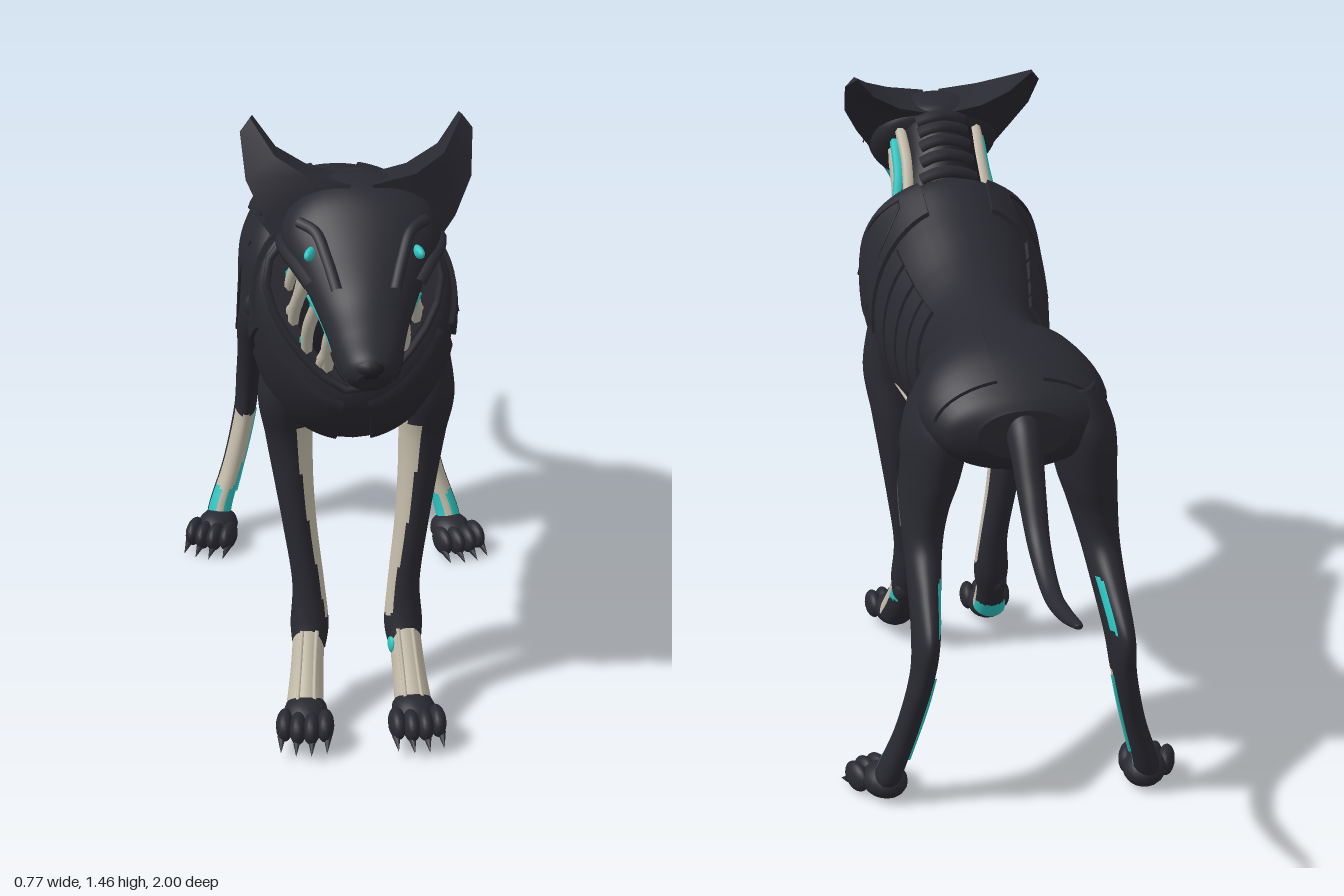
import * as THREE from 'three';
import { toCreasedNormals } from 'three/addons/utils/BufferGeometryUtils.js';

const material = (name, color) => Object.assign(new THREE.MeshStandardMaterial({ color }), { name });
const armour = material('dark armour', 0x292931);
const seam = material('seam black', 0x1f1f25);
const sinew = material('bone sinew', 0xc2baa8);
const glow = material('turquoise', 0x2cc4c0);

const V = (x, y, z) => new THREE.Vector3(x, y, z);

// A station is [topZ, topY, bottomZ, bottomY, halfWidth, centreX, topHeaviness].
// Smooth station at parameter t along a list of stations.
function station(list, t) {
  const n = list.length, i = Math.min(Math.floor(t), n - 2), f = t - i;
  const at = (k, c) => list[Math.max(0, Math.min(n - 1, k))][c] ?? 0;
  return [0, 1, 2, 3, 4, 5, 6].map((c) => {
    const a = at(i - 1, c), b = at(i, c), d = at(i + 1, c), e = at(i + 2, c);
    return b + 0.5 * f * (d - a + f * (2 * a - 5 * b + 4 * d - e + f * (3 * (b - d) + e - a)));
  });
}

// Point on a lofted surface at parameter t and angle a, lifted by grow.
function surf(list, t, a, grow = 0) {
  const [tz, ty, bz, by, w, cx, k] = station(list, t);
  const len = Math.hypot(tz - bz, ty - by) / 2 || 1;
  const s = Math.sin(a) * (1 + grow / len) / 2;
  return V(cx + (w + grow) * Math.cos(a) * (1 + k * Math.sin(a)),
    (ty + by) / 2 + (ty - by) * s, (tz + bz) / 2 + (tz - bz) * s);
}

// Skin closed rings with end caps; pick(i, j) gives the material of each face.
function skin(rings, materials = 1, pick = () => 0) {
  const n = rings[0].length, m = rings.length, pos = [];
  rings.forEach((r) => r.forEach((p) => pos.push(p.x, p.y, p.z)));
  for (const r of [rings[0], rings[m - 1]]) {
    const c = r.reduce((s, p) => s.add(p), V(0, 0, 0)).divideScalar(n);
    pos.push(c.x, c.y, c.z);
  }
  const faces = Array.from({ length: materials }, () => []);
  for (let j = 0; j < n; j++) {
    const q = (j + 1) % n, e = (m - 1) * n;
    for (let i = 0; i < m - 1; i++) {
      const a = i * n + j, b = i * n + q;
      faces[pick(i, j)].push(a, b, a + n, b, b + n, a + n);
    }
    faces[pick(0, j)].push(m * n, q, j);
    faces[pick(m - 2, j)].push(m * n + 1, e + j, e + q);
  }
  const g = new THREE.BufferGeometry();
  g.setAttribute('position', new THREE.Float32BufferAttribute(pos, 3));
  g.setIndex(faces.flat());
  let start = 0;
  faces.forEach((f, k) => { g.addGroup(start, f.length, k); start += f.length; });
  g.computeVertexNormals();
  return g;
}

export function createModel() {
  const root = new THREE.Group();
  root.name = 'hound';
  const add = (name, geo, mat, parent = root) => {
    const m = new THREE.Mesh(geo, mat);
    m.name = name;
    parent.add(m);
    return m;
  };
  const loft = (name, list, mats = [armour], paint = () => 0) => {
    const N = 40, sub = 12, M = (list.length - 1) * sub, A = Math.PI * 2 / N;
    const rings = Array.from({ length: M + 1 }, (_, i) =>
      Array.from({ length: N }, (_, j) => surf(list, i / sub, j * A)));
    return add(name, skin(rings, mats.length, (i, j) => {
      const a = (j + 0.5) * A;
      return paint(surf(list, (i + 0.5) / sub, a), a);
    }), mats);
  };
  // Raised plate over part of a loft, s = 1 left, -1 right.
  const panel = (name, list, t0, t1, a0, a1, grow, s) => {
    const K = 14, rings = [];
    for (let i = 0; i <= 8; i++) {
      const t = t0 + (t1 - t0) * i / 8, ring = [];
      for (const [g, back] of [[grow, 0], [-0.015, 1]])
        for (let j = 0; j <= K; j++) {
          const f = back ? 1 - j / K : j / K, a = a0 + (a1 - a0) * f;
          ring.push(surf(list, t, s > 0 ? a : Math.PI - a, g));
        }
      rings.push(s > 0 ? ring : ring.reverse());
    }
    return add(name, toCreasedNormals(skin(rings), 0.7), armour);
  };
  // Strand lying on a loft through a list of [t, angle].
  const strand = (name, list, path, r, mat, s = 1, grow = 0) => {
    const pts = path.map(([t, a]) => surf(list, t, s > 0 ? a : Math.PI - a, grow));
    return add(name, new THREE.TubeGeometry(new THREE.CatmullRomCurve3(pts), 20, r, 7), mat);
  };
  const ball = (name, p, x, y, z, mat, parent) => {
    const m = add(name, new THREE.SphereGeometry(1, 16, 12), mat, parent);
    m.position.copy(p);
    m.scale.set(x, y, z);
    return m;
  };

  // Torso with open flank and elbow patches
  const torso = [
    [-0.47, 0.95, -0.46, 0.84, 0.1], [-0.44, 0.985, -0.42, 0.8, 0.17], [-0.35, 1.045, -0.33, 0.78, 0.205],
    [-0.25, 1.07, -0.24, 0.79, 0.185], [-0.15, 1.07, -0.15, 0.8, 0.135], [0, 1.08, -0.02, 0.73, 0.145],
    [0.12, 1.115, 0.1, 0.69, 0.172], [0.25, 1.18, 0.25, 0.67, 0.2], [0.36, 1.235, 0.42, 0.695, 0.215],
    [0.395, 1.23, 0.51, 0.8, 0.205, 0, 0.15], [0.41, 1.2, 0.525, 0.87, 0.165, 0, 0.45]];
  loft('torso', torso, [armour, sinew], (p) => {
    const flank = p.z < 0.1 && p.z > -0.17 && Math.abs(p.x) > 0.05 && p.y < Math.min(0.91, 0.75 + (0.1 - p.z) * 0.78);
    const elbow = p.z > 0.19 && p.z < 0.33 && p.y > 0.73 && p.y < 0.76 + (p.z - 0.19) * 0.55;
    return flank || elbow ? 1 : 0;
  });
  strand('collarRim', torso, Array.from({ length: 25 }, (_, i) => [9.7, i * Math.PI / 12]), 0.009, armour);

  // Neck core
  const neck = [[0.36, 1.2, 0.49, 0.86, 0.14], [0.42, 1.22, 0.54, 0.95, 0.125],
    [0.48, 1.3, 0.6, 1.06, 0.105], [0.55, 1.355, 0.69, 1.17, 0.1], [0.6, 1.36, 0.72, 1.2, 0.09]];
  loft('neck', neck, [seam]);
  for (let i = 0; i < 6; i++)
    strand('napePlate', neck, [1, 1.25, 1.57, 1.9, 2.14].map((a) => [0.9 + i * 0.4, a]), 0.016, armour);

  // Head
  const head = [[0.55, 1.35, 0.6, 1.24, 0.07], [0.57, 1.375, 0.64, 1.2, 0.13], [0.64, 1.39, 0.68, 1.16, 0.16],
    [0.71, 1.37, 0.73, 1.145, 0.15, 0, 0.1], [0.78, 1.31, 0.78, 1.115, 0.117, 0, 0.14], [0.86, 1.225, 0.84, 1.092, 0.085],
    [0.93, 1.178, 0.9, 1.07, 0.068], [0.985, 1.145, 0.95, 1.06, 0.05], [0.998, 1.115, 0.975, 1.075, 0.025]];
  loft('head', head);
  ball('nose', V(0, 1.12, 0.97), 0.036, 0.026, 0.03, seam);

  // Tail
  loft('tail', [[-0.4, 0.87, -0.4, 0.97, 0.045], [-0.46, 0.84, -0.49, 0.925, 0.037], [-0.53, 0.755, -0.57, 0.81, 0.03],
    [-0.62, 0.675, -0.64, 0.72, 0.024], [-0.75, 0.63, -0.75, 0.665, 0.02], [-0.87, 0.64, -0.865, 0.67, 0.017],
    [-0.98, 0.672, -0.985, 0.69, 0.011], [-1, 0.68, -1, 0.685, 0.003]]);

  // Paw with four toes and claws, facing +z
  const paw = (name, x, y, z, turn) => {
    const g = new THREE.Group();
    g.name = name;
    g.position.set(x, y, z);
    g.rotation.y = turn;
    root.add(g);
    ball('palm', V(0, 0.042, -0.01), 0.05, 0.04, 0.062, armour, g);
    for (let i = 0; i < 4; i++) {
      const k = i - 1.5, reach = 0.055 - Math.abs(k) * 0.012;
      ball('toe', V(k * 0.03, 0.04, reach), 0.02, 0.034, 0.044, armour, g);
      const claw = add('claw', new THREE.ConeGeometry(0.01, 0.045, 7), armour, g);
      claw.position.set(k * 0.034, 0.016, reach + 0.045);
      claw.rotation.x = 1.95;
    }
  };

  for (const s of [1, -1]) {
    const side = s > 0 ? 'left' : 'right';

    // Armour plates and ribs
    panel(side + 'ShoulderPlate', torso, 7.25, 8.9, -0.15, 1.2, 0.01, s);
    panel(side + 'ChestPlate', torso, 8.05, 9.3, -1.4, -0.25, 0.007, s);
    panel(side + 'HipPlate', torso, 1.3, 3.1, 0.2, 1.3, 0.007, s);
    for (let i = 0; i < 4; i++)
      panel(side + 'Rib', torso, 5.15 + i * 0.52, 5.58 + i * 0.52, -0.4 - i * 0.04, 0.72, 0.008, s);
    strand(side + 'ShoulderSeam', torso, [[7.5, 0], [7.5, 0.6], [8, 0.95], [8.5, 0.6], [8.6, 0]], 0.004, seam, s, 0.01);

    // Flank and elbow sinews
    for (let i = 0; i < 4; i++)
      strand(side + 'FlankSinew', torso, [[6.15, -0.85 - i * 0.05], [5.2, -0.65 - i * 0.15], [4.1 + i * 0.12, -0.25 - i * 0.18]],
        0.009, sinew, s);
    strand(side + 'FlankGlow', torso, [[5.2, -0.74], [4.95, -0.69], [4.7, -0.62]], 0.017, glow, s);
    for (let i = 0; i < 3; i++)
      strand(side + 'ElbowSinew', torso, [[6.7, -0.78 - i * 0.08], [7.5, -0.52 - i * 0.13]], 0.008, sinew, s);

    // Neck sinews
    [-1.42, -1.22, -1.02, -0.82, -0.62, -0.42, -0.2, 0.02, 0.27, 0.55].forEach((a, i) => {
      const bend = i % 2 ? 0.14 : -0.08, lit = i === 4 || i === 8;
      strand(side + 'NeckSinew', neck, [[0.1, a * 0.95], [1, a + bend], [2, a + bend * 0.4], [3, a - 0.05], [3.9, a * 0.8]],
        i === 4 ? 0.01 : 0.0145, lit ? glow : sinew, s, 0.004);
    });

    // Face details
    const eye = ball(side + 'Eye', surf(head, 3.9, s > 0 ? 0.62 : Math.PI - 0.62), 0.01, 0.013, 0.024, glow);
    eye.rotation.y = s * 0.4;
    strand(side + 'Brow', head, [[3.1, 0.65], [3.6, 0.86], [4.2, 0.9], [4.8, 0.9]], 0.012, armour, s);
    strand(side + 'Cheek', head, [[2, -0.1], [2.8, -0.05], [3.6, 0.1], [4.3, 0.25]], 0.014, armour, s);
    strand(side + 'MouthGlow', head, [[3.9, -0.3], [4.4, -0.52], [5, -0.55], [5.6, -0.6]], 0.006, glow, s);
    strand(side + 'Lip', head, [[5.6, -0.45], [6.4, -0.4], [7.2, -0.3]], 0.006, seam, s);

    // Ear: broad triangular sections sweeping from skull to tip
    const earRings = [
      [[0.02, 1.385, 0.69], [0.14, 1.23, 0.67], [0.01, 1.355, 0.55]],
      [[0.11, 1.4, 0.67], [0.192, 1.3, 0.645], [0.1, 1.375, 0.54]],
      [[0.17, 1.425, 0.62], [0.228, 1.365, 0.595], [0.165, 1.41, 0.522]],
      [[0.216, 1.466, 0.505], [0.237, 1.44, 0.515], [0.211, 1.464, 0.482]],
    ].map((r) => { const q = r.map(([x, y, z]) => V(x * s, y, z)); return s > 0 ? q : q.reverse(); });
    add(side + 'Ear', toCreasedNormals(skin(earRings), 0.6), armour);

    // Front leg with sinew narrowing down its inner front
    const shift = 0.01;
    const front = [[0.42, 0.96, 0.29, 0.92, 0.04, 0.15], [0.44, 0.8, 0.3, 0.78, 0.06, 0.155], [0.41, 0.68, 0.285, 0.66, 0.052, 0.147],
      [0.405, 0.57, 0.287, 0.56, 0.044, 0.138], [0.408, 0.45, 0.305, 0.45, 0.038, 0.125], [0.415, 0.32, 0.335, 0.31, 0.036, 0.108],
      [0.43, 0.235, 0.355, 0.2, 0.043, 0.106], [0.45, 0.19, 0.38, 0.14, 0.036, 0.108]].map((q) => { q[5] = s * q[5] + shift; return q; });
    loft(side + 'FrontLeg', front, [armour, sinew], (p, a) =>
      p.y < 0.72 && p.y > 0.24 && Math.cos(a) * s < (p.y - 0.75) * 1.2 - (s < 0 ? 0.2 : 0.05) && Math.sin(a) > -0.3 ? 1 : 0);
    const pastern = [[0.435, 0.22, 0.375, 0.17, 0.036, s * 0.108 + shift], [0.485, 0.155, 0.415, 0.1, 0.037, s * 0.115 + shift],
      [0.545, 0.085, 0.46, 0.05, 0.042, s * 0.122 + shift]];
    loft(side + 'FrontPastern', pastern, [sinew, glow, armour], (p, a) => {
      if (Math.sin(a) > -0.15) return 0;
      return (s > 0 ? p.y > 0.14 : p.y < 0.1) ? 1 : 2;
    });
    for (const a of [1.1, 2.04]) strand(side + 'PasternSinew', pastern, [[0, a], [1, a], [2, a]], 0.005, sinew);
    ball(side + 'WristPad', V(s * 0.122 + shift, 0.18, 0.378), 0.022, 0.028, 0.016, armour);
    paw(side + 'FrontPaw', s * 0.122 + shift, 0.022, 0.54, s * 0.08);

    // Hind leg, the left one a step ahead, with colour on shin and inner side
    const step = s > 0 ? 0.055 : 0;
    const hind = [[-0.24, 1.0, -0.42, 0.97, 0.05, 0.13], [-0.18, 0.87, -0.46, 0.87, 0.072, 0.155], [-0.185, 0.76, -0.44, 0.75, 0.066, 0.17],
      [-0.21, 0.68, -0.42, 0.67, 0.055, 0.185], [-0.28, 0.59, -0.425, 0.6, 0.044, 0.195], [-0.35, 0.49, -0.49, 0.53, 0.036, 0.203],
      [-0.405, 0.4, -0.57, 0.44, 0.03, 0.212], [-0.435, 0.32, -0.55, 0.34, 0.027, 0.222], [-0.435, 0.2, -0.505, 0.2, 0.027, 0.252],
      [-0.41, 0.1, -0.48, 0.08, 0.03, 0.287], [-0.39, 0.05, -0.46, 0.04, 0.03, 0.295]]
      .map((q) => [q[0] + step, q[1], q[2] + step, q[3], q[4], q[5] * s]);
    loft(side + 'HindLeg', hind, [armour, sinew, glow], (p, a) => {
      const inner = Math.cos(a) * s < 0, up = Math.sin(a);
      if (p.y > 0.445 && p.y < 0.54) return inner && up < -0.4 && up > -0.8 ? 2 : 0;
      if (p.y > 0.34 || up < (inner ? -0.1 : 0.3)) return 0;
      return (p.y < 0.14 && up < 0.95) || (inner && p.y < 0.2 && up < 0.75) ? 2 : 1;
    });
    strand(side + 'HeelGlow', hind, [[7, -0.15], [7.6, -0.2], [8.7, -0.2]], 0.006, glow, -s);
    strand(side + 'ThighSeam', hind, [[0.8, 0.7], [1.6, 0.4], [2.6, 0.35], [3.6, 0]], 0.004, seam, s);
    ball(side + 'KneeCap', V(s * 0.19, 0.74, -0.21 + step), 0.035, 0.035, 0.025, armour);
    paw(side + 'HindPaw', s * 0.3, 0.002, -0.4 + step, s * 0.35);
  }
  // Teal wrist mark on the inner left foreleg
  ball('leftWristGlow', V(0.09, 0.175, 0.42), 0.011, 0.024, 0.026, glow);
  return root;
}
